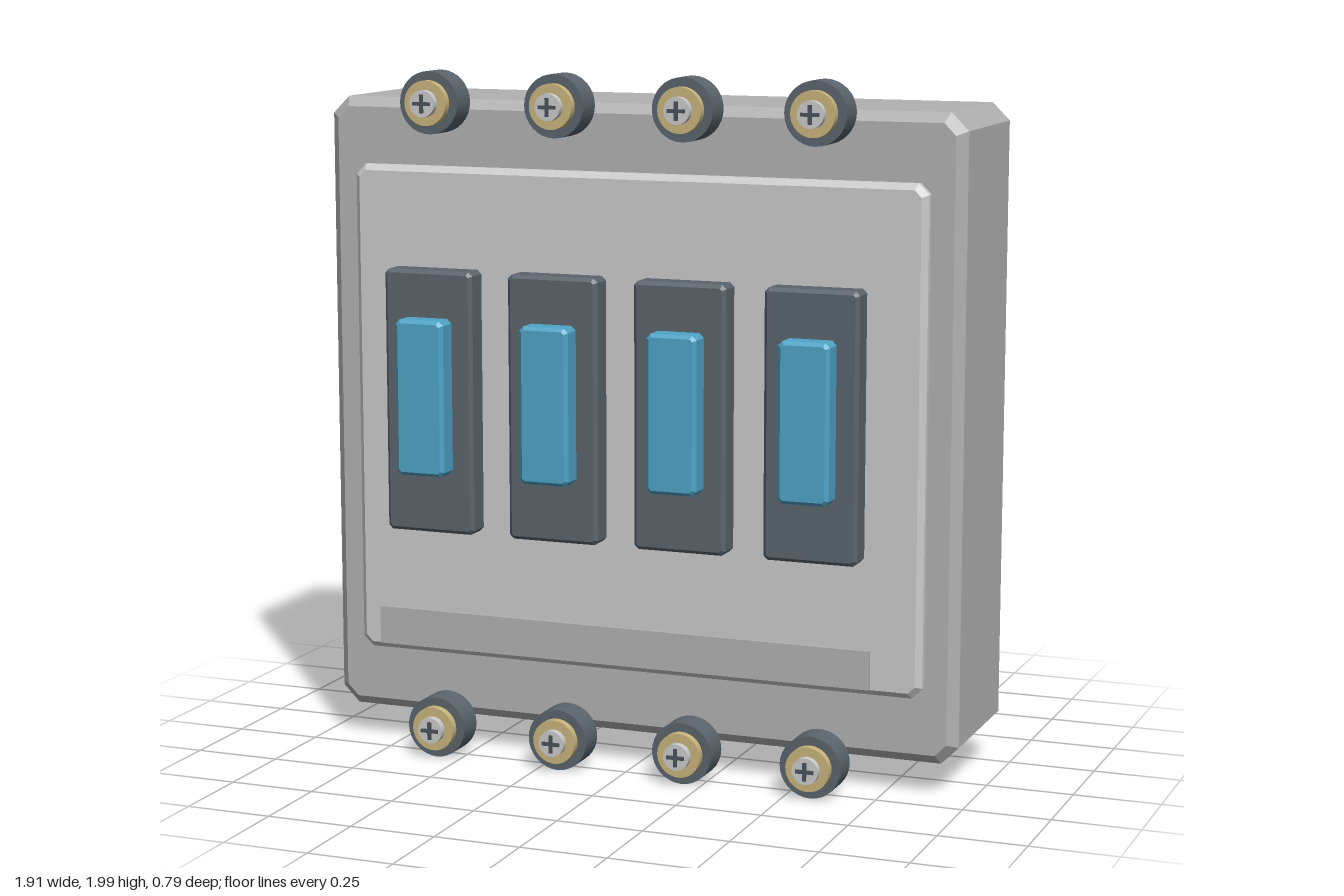
import * as THREE from 'three';

const mat = (color) => new THREE.MeshStandardMaterial({ color });
const grey = mat(0xcccccc);
const housingGrey = mat(0xb2b2b2);
const slate = mat(0x5b656d);
const darkSlate = mat(0x4a525c);
const blue = mat(0x4fa4c8);
const brass = mat(0xc9b57c);

// Block with cut corners and chamfered front and back rims, given by its extents
function block(name, [x0, x1], [y0, y1], [z0, z1], corner, bevel, material) {
  const w = (x1 - x0) / 2, h = (y1 - y0) / 2, c = corner;
  const outline = new THREE.Shape([
    [w - c, -h], [w, -h + c], [w, h - c], [w - c, h],
    [-w + c, h], [-w, h - c], [-w, -h + c], [-w + c, -h],
  ].map(([x, y]) => new THREE.Vector2(x, y)));
  const geo = new THREE.ExtrudeGeometry(outline, {
    depth: z1 - z0 - 2 * bevel, bevelEnabled: true, bevelSegments: 1,
    bevelSize: bevel, bevelThickness: bevel, bevelOffset: -bevel,
  });
  geo.translate((x0 + x1) / 2, (y0 + y1) / 2, z0 + bevel);
  const mesh = new THREE.Mesh(geo, material);
  mesh.name = name;
  return mesh;
}

// Disc whose axis runs along z
function disc(name, radius, z0, z1, material) {
  const geo = new THREE.CylinderGeometry(radius, radius, z1 - z0, 32);
  geo.rotateX(Math.PI / 2).translate(0, 0, (z0 + z1) / 2);
  const mesh = new THREE.Mesh(geo, material);
  mesh.name = name;
  return mesh;
}

// Terminal: round base, brass washer, screw head and cross
function terminal(x, y) {
  const group = new THREE.Group();
  group.name = 'terminal';
  group.add(
    disc('terminalBase', 0.089, 0.217, 0.303, slate),
    disc('terminalWasher', 0.064, 0.29, 0.327, brass),
    disc('screwHead', 0.038, 0.32, 0.348, grey),
  );
  for (const [w, h] of [[0.052, 0.01], [0.01, 0.052]]) {
    const bar = new THREE.Mesh(new THREE.BoxGeometry(w, h, 0.014), darkSlate);
    bar.name = 'screwCross';
    bar.position.z = 0.348;
    group.add(bar);
  }
  group.position.set(x, y, 0);
  return group;
}

export function createModel() {
  const model = new THREE.Group();
  model.name = 'breakerBox';

  // Housing and front
  model.add(
    block('housing', [-0.956, 0.956], [0.098, 1.913], [-0.306, 0.17], 0.05, 0.028, housingGrey),
    block('frontPanel', [-0.862, 0.862], [0.29, 1.722], [0.12, 0.206], 0.03, 0.017, grey),
  );

  // Label plate
  const plate = new THREE.Mesh(new THREE.BoxGeometry(1.49, 0.11, 0.012), housingGrey);
  plate.name = 'labelPlate';
  plate.position.set(0, 0.39, 0.307);
  model.add(plate);

  // Four switches with a terminal above and below each
  for (const x of [-0.574, -0.191, 0.191, 0.574]) {
    model.add(
      block('switchBody', [x - 0.136, x + 0.136], [0.68, 1.438], [0.245, 0.327], 0.012, 0.01, slate),
      block('switchToggle', [x - 0.074, x + 0.074], [0.855, 1.303], [0.305, 0.393], 0.013, 0.01, blue),
      terminal(x, 1.911),
      terminal(x, 0.095),
    );
  }

  // Mounting parts on the back
  model.add(
    block('mountingRail', [-0.687, 0.687], [0.87, 1.14], [-0.357, -0.302], 0.012, 0.01, slate),
    block('railClip', [-0.4, 0.4], [0.052, 0.285], [-0.395, -0.32], 0.01, 0.008, darkSlate),
  );
  return model;
}
